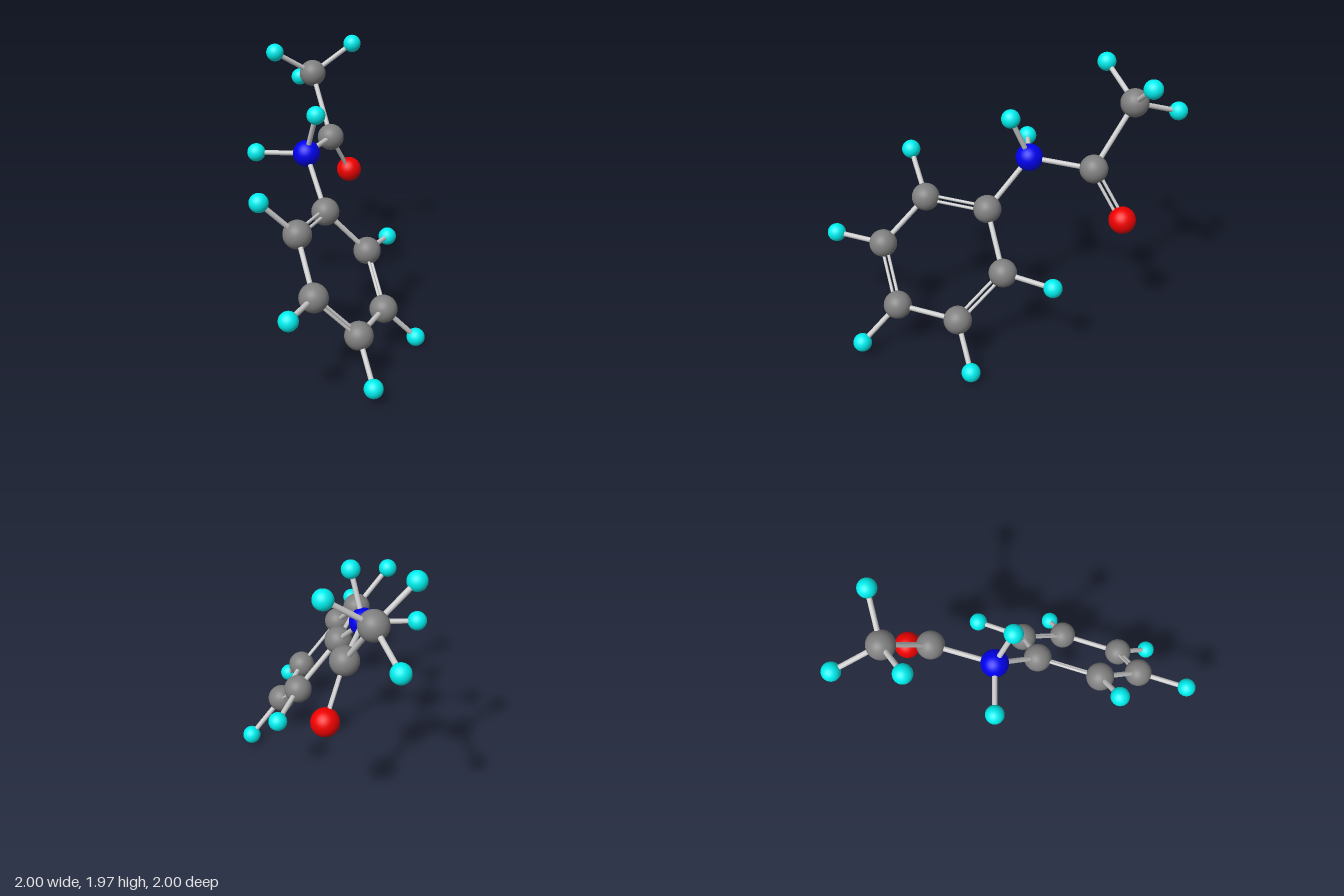
import * as THREE from 'three';

const ELEMENTS = {
  carbon: { radius: 0.098, color: 0x808080 },
  nitrogen: { radius: 0.096, color: 0x0000ee },
  oxygen: { radius: 0.094, color: 0xee0000 },
  hydrogen: { radius: 0.065, color: 0x00eeee },
};

// Atom centres: [element, x, y, z]
const ATOMS = {
  ring1: ['carbon', 0.013, 0.967, 0.104],
  ring2: ['carbon', -0.425, 0.982, 0.242],
  ring3: ['carbon', -0.588, 0.682, 0.531],
  ring4: ['carbon', -0.326, 0.356, 0.697],
  ring5: ['carbon', 0.104, 0.334, 0.567],
  ring6: ['carbon', 0.273, 0.631, 0.276],
  ringHydrogen2: ['hydrogen', -0.652, 1.242, 0.119],
  ringHydrogen3: ['hydrogen', -0.937, 0.698, 0.637],
  ringHydrogen4: ['hydrogen', -0.459, 0.113, 0.934],
  ringHydrogen5: ['hydrogen', 0.318, 0.067, 0.7],
  ringHydrogen6: ['hydrogen', 0.625, 0.597, 0.187],
  amine: ['nitrogen', 0.152, 1.287, -0.197],
  amineHydrogen1: ['hydrogen', 0.092, 1.612, -0.055],
  amineHydrogen2: ['hydrogen', -0.064, 1.285, -0.484],
  carbonyl: ['carbon', 0.584, 1.269, -0.342],
  carbonylOxygen: ['oxygen', 0.82, 0.943, -0.355],
  methyl: ['carbon', 0.705, 1.686, -0.632],
  methylHydrogen1: ['hydrogen', 0.409, 1.88, -0.742],
  methylHydrogen2: ['hydrogen', 0.933, 1.904, -0.437],
  methylHydrogen3: ['hydrogen', 0.888, 1.567, -0.934],
};

// Single bonds: [from, to]
const SINGLE = [
  ['ring2', 'ring3'], ['ring4', 'ring5'], ['ring6', 'ring1'],
  ['ring1', 'amine'], ['amine', 'carbonyl'], ['carbonyl', 'methyl'],
  ['amine', 'amineHydrogen1'], ['amine', 'amineHydrogen2'],
];
for (let i = 2; i <= 6; i++) SINGLE.push([`ring${i}`, `ringHydrogen${i}`]);
for (let i = 1; i <= 3; i++) SINGLE.push(['methyl', `methylHydrogen${i}`]);

// Double bonds: [from, to, neighbour that fixes the plane of the pair]
const DOUBLE = [
  ['ring1', 'ring2', 'ring6'],
  ['ring3', 'ring4', 'ring2'],
  ['ring5', 'ring6', 'ring4'],
  ['carbonyl', 'carbonylOxygen', 'methyl'],
];

const position = (name) => new THREE.Vector3(...ATOMS[name].slice(1));

export function createModel() {
  const model = new THREE.Group();
  model.name = 'ballAndStickMolecule';

  // Balls, sharing one geometry and material per element
  const shared = {};
  for (const [element, { radius, color }] of Object.entries(ELEMENTS)) {
    shared[element] = {
      geometry: new THREE.SphereGeometry(radius, 32, 20),
      material: new THREE.MeshStandardMaterial({ color }),
    };
  }
  for (const [name, [element]] of Object.entries(ATOMS)) {
    const ball = new THREE.Mesh(shared[element].geometry, shared[element].material);
    ball.name = `${name}Atom`;
    ball.position.copy(position(name));
    model.add(ball);
  }

  // Rods between ball centres
  const rodMaterial = new THREE.MeshStandardMaterial({ color: 0xcccccc });
  const up = new THREE.Vector3(0, 1, 0);
  const addRod = (name, a, b, radius) => {
    const along = b.clone().sub(a);
    const rod = new THREE.Mesh(
      new THREE.CylinderGeometry(radius, radius, along.length(), 16), rodMaterial);
    rod.name = name;
    rod.position.copy(a).add(b).multiplyScalar(0.5);
    rod.quaternion.setFromUnitVectors(up, along.normalize());
    model.add(rod);
  };

  for (const [from, to] of SINGLE) {
    addRod(`${from}To${to}Bond`, position(from), position(to), 0.018);
  }

  // Paired thin rods, spread within the plane of the neighbouring atoms
  for (const [from, to, neighbour] of DOUBLE) {
    const a = position(from), b = position(to);
    const along = b.clone().sub(a).normalize();
    const side = position(neighbour).sub(a);
    side.addScaledVector(along, -side.dot(along)).normalize();
    for (const s of [-1, 1]) {
      const shift = side.clone().multiplyScalar(0.017 * s);
      addRod(`${from}To${to}DoubleBond`, a.clone().add(shift), b.clone().add(shift), 0.011);
    }
  }
  return model;
}
